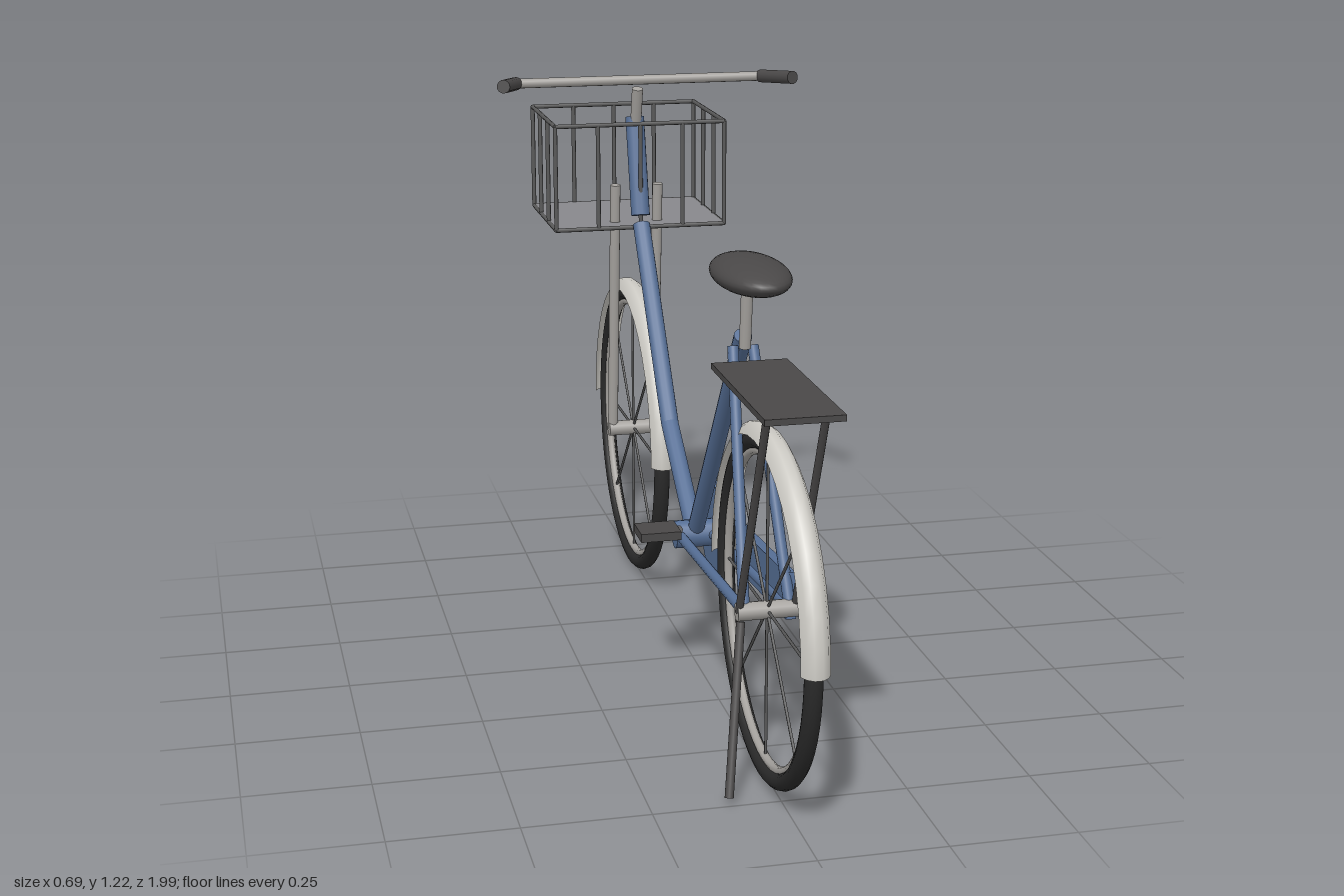
import * as THREE from 'three';

const mat = (color, side = THREE.FrontSide) => new THREE.MeshStandardMaterial({ color, side });
const blue = mat(0x566f96);
const steel = mat(0xa5a29e);
const fenderGrey = mat(0xcccac4, THREE.DoubleSide);
const tyreBlack = mat(0x2a2a2a);
const dark = mat(0x4a4848);
const wire = mat(0x5a5a5a);
const floorGrey = mat(0x88888c);

const WHEEL_Y = 0.35, AXLE_Z = 0.632;
const V = (x, y, z) => new THREE.Vector3(x, y, z);

function add(parent, name, geometry, material) {
  const mesh = new THREE.Mesh(geometry, material);
  mesh.name = name;
  parent.add(mesh);
  return mesh;
}

// Straight rod between two points
function rod(parent, name, a, b, radius, material, sides = 12) {
  const dir = b.clone().sub(a);
  const mesh = add(parent, name, new THREE.CylinderGeometry(radius, radius, dir.length(), sides), material);
  mesh.position.copy(a).add(b).multiplyScalar(0.5);
  mesh.quaternion.setFromUnitVectors(V(0, 1, 0), dir.normalize());
  return mesh;
}

function box(parent, name, w, h, d, x, y, z, material) {
  const mesh = add(parent, name, new THREE.BoxGeometry(w, h, d), material);
  mesh.position.set(x, y, z);
  return mesh;
}

function makeWheel(name, z) {
  const wheel = new THREE.Group();
  wheel.name = name;
  wheel.position.set(0, WHEEL_Y, z);
  add(wheel, 'tyre', new THREE.TorusGeometry(0.326, 0.018, 12, 56).rotateY(Math.PI / 2), tyreBlack);
  add(wheel, 'rim', new THREE.TorusGeometry(0.306, 0.009, 8, 56).rotateY(Math.PI / 2), steel);
  rod(wheel, 'hub', V(-0.06, 0, 0), V(0.06, 0, 0), 0.018, steel);
  for (let i = 0; i < 8; i++) {
    const a = (i * Math.PI) / 4;
    rod(wheel, 'spoke', V(0, 0, 0), V(0, 0.305 * Math.sin(a), 0.305 * Math.cos(a)), 0.003, wire, 6);
  }
  // Half-circle mudguard with a shallow curved section
  const section = [[0.338, -0.028], [0.353, -0.02], [0.362, -0.008], [0.362, 0.008], [0.353, 0.02], [0.338, 0.028]]
    .map(([r, x]) => new THREE.Vector2(r, x));
  add(wheel, 'mudguard', new THREE.LatheGeometry(section, 20, 0, Math.PI).rotateZ(Math.PI / 2), fenderGrey);
  return wheel;
}

function makeFrame() {
  const frame = new THREE.Group();
  frame.name = 'frame';
  const bottom = V(0, 0.3, 0.025);
  const bend = V(0, 0.475, -0.22);
  rod(frame, 'seatTube', bottom, V(0, 0.84, 0.435), 0.018, blue);
  rod(frame, 'lowerDownTube', bottom, bend, 0.02, blue);
  rod(frame, 'upperDownTube', bend, V(0, 0.87, -0.52), 0.02, blue);
  add(frame, 'downTubeBend', new THREE.SphereGeometry(0.02, 12, 8), blue).position.copy(bend);
  rod(frame, 'headTube', V(0, 0.89, -0.53), V(0, 1.11, -0.59), 0.022, blue);
  rod(frame, 'bottomBracket', V(-0.045, 0.3, 0.025), V(0.045, 0.3, 0.025), 0.03, blue, 16);
  for (const s of [-1, 1]) {
    rod(frame, 'seatStay', V(s * 0.02, 0.82, 0.435), V(s * 0.045, WHEEL_Y, AXLE_Z), 0.011, blue);
    rod(frame, 'chainStay', V(s * 0.035, 0.3, 0.025), V(s * 0.045, WHEEL_Y, AXLE_Z), 0.011, blue);
    rod(frame, 'forkLeg', V(s * 0.05, WHEEL_Y, -AXLE_Z), V(s * 0.05, 0.955, -0.575), 0.012, steel);
  }
  // Chain guard: tilted bar and a disc round the crank
  const bar = box(frame, 'chainGuardBar', 0.02, 0.093, 0.59, 0.05, 0.345, 0.325, blue);
  bar.rotation.x = -0.08;
  rod(frame, 'chainGuardDisc', V(0.039, 0.302, 0.025), V(0.061, 0.302, 0.025), 0.108, blue, 32);
  return frame;
}

function makeCranks() {
  const cranks = new THREE.Group();
  cranks.name = 'cranks';
  rod(cranks, 'crankAxle', V(-0.07, 0.302, 0.022), V(0.07, 0.302, 0.022), 0.012, steel);
  for (const [s, y, z] of [[1, 0.25, -0.122], [-1, 0.357, 0.16]]) {
    rod(cranks, 'crankArm', V(s * 0.067, 0.302, 0.022), V(s * 0.067, y, z), 0.01, dark);
    box(cranks, 'pedal', 0.085, 0.018, 0.075, s * 0.111, y, z, dark);
  }
  return cranks;
}

function makeSteering() {
  const steering = new THREE.Group();
  steering.name = 'steering';
  rod(steering, 'stem', V(0, 1.08, -0.583), V(0, 1.18, -0.556), 0.013, steel);
  rod(steering, 'handlebar', V(-0.29, 1.204, -0.53), V(0.29, 1.204, -0.53), 0.011, steel);
  for (const s of [-1, 1])
    rod(steering, 'grip', V(s * 0.285, 1.204, -0.53), V(s * 0.33, 1.214, -0.418), 0.015, dark);
  return steering;
}

function makeSeat() {
  const seat = new THREE.Group();
  seat.name = 'seat';
  rod(seat, 'seatPost', V(0, 0.82, 0.45), V(0, 0.965, 0.468), 0.012, steel);
  const saddle = add(seat, 'saddle', new THREE.SphereGeometry(1, 28, 18), dark);
  saddle.scale.set(0.073, 0.033, 0.147);
  saddle.position.set(0, 0.974, 0.488);
  return seat;
}

function makeBasket() {
  const basket = new THREE.Group();
  basket.name = 'basket';
  const W = 0.198, Y0 = 0.863, Y1 = 1.103, Z0 = -0.527, Z1 = -0.843, R = 0.005;
  box(basket, 'basketFloor', 2 * W, 0.008, Z0 - Z1, 0, Y0, (Z0 + Z1) / 2, floorGrey);
  for (const y of [Y0, Y1]) {
    for (const z of [Z0, Z1]) rod(basket, 'basketRail', V(-W, y, z), V(W, y, z), R, wire, 8);
    for (const x of [-W, W]) rod(basket, 'basketRail', V(x, y, Z0), V(x, y, Z1), R, wire, 8);
  }
  for (let i = 0; i < 5; i++) {
    const x = -W + (i * W) / 2;
    for (const z of [Z0, Z1]) rod(basket, 'basketUpright', V(x, Y0, z), V(x, Y1, z), R, wire, 8);
  }
  for (let i = 1; i < 3; i++) {
    const z = Z0 + ((Z1 - Z0) * i) / 3;
    for (const x of [-W, W]) rod(basket, 'basketUpright', V(x, Y0, z), V(x, Y1, z), R, wire, 8);
  }
  return basket;
}

function makeRack() {
  const rack = new THREE.Group();
  rack.name = 'rearRack';
  box(rack, 'rackPlate', 0.15, 0.012, 0.4, 0, 0.797, 0.685, dark);
  for (const s of [-1, 1])
    rod(rack, 'rackStrut', V(s * 0.055, WHEEL_Y, AXLE_Z), V(s * 0.055, 0.793, 0.828), 0.008, dark, 8);
  rod(rack, 'kickstand', V(-0.055, 0.335, 0.645), V(-0.1, 0.02, 0.742), 0.009, dark, 10);
  return rack;
}

export function createModel() {
  const bicycle = new THREE.Group();
  bicycle.name = 'bicycle';
  bicycle.add(
    makeWheel('rearWheel', AXLE_Z),
    makeWheel('frontWheel', -AXLE_Z),
    makeFrame(),
    makeCranks(),
    makeSteering(),
    makeSeat(),
    makeBasket(),
    makeRack()
  );
  return bicycle;
}
